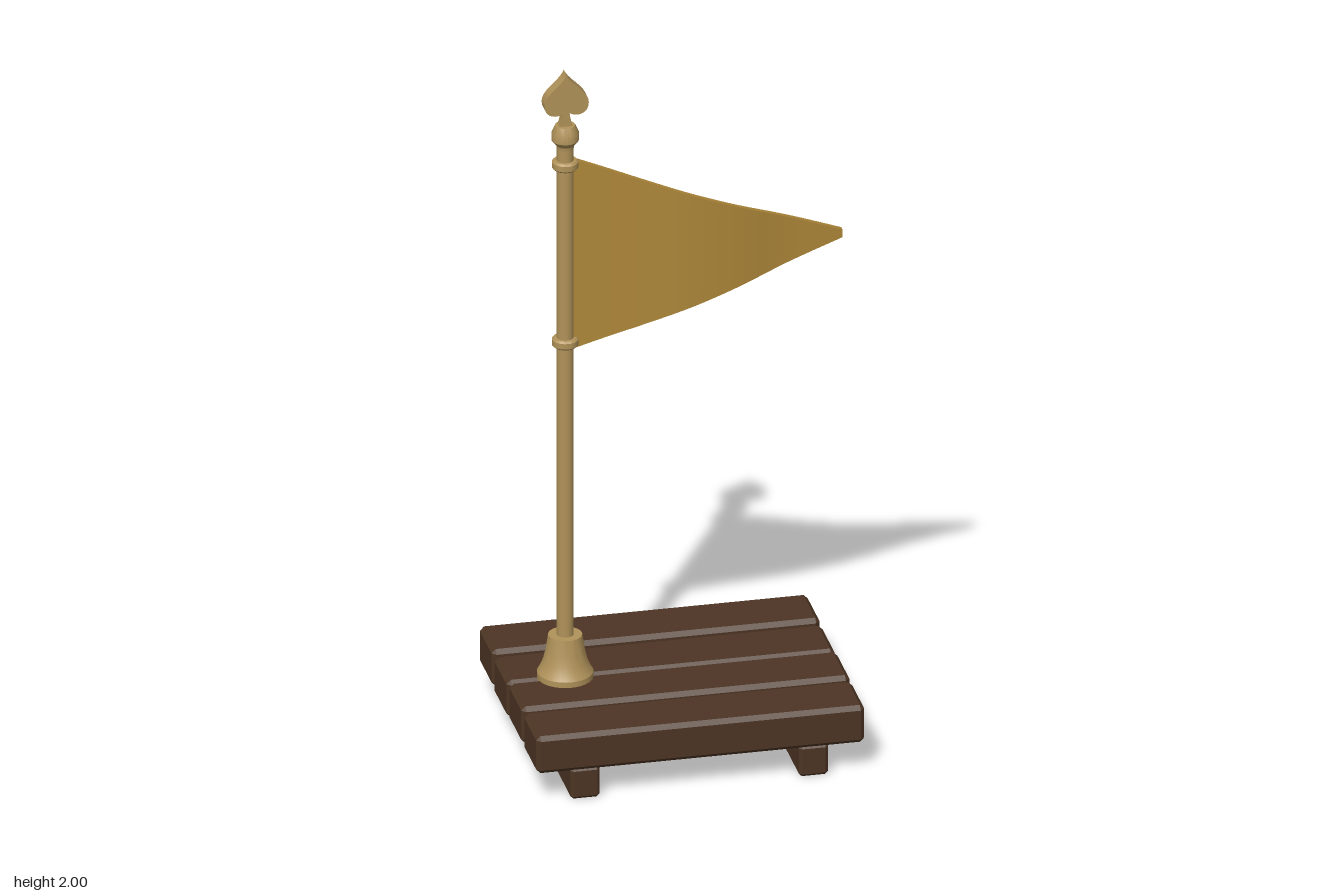
import * as THREE from 'three';
import { ConvexGeometry } from 'three/addons/geometries/ConvexGeometry.js';
import { toCreasedNormals } from 'three/addons/utils/BufferGeometryUtils.js';

const mat = (name, color) => {
  const m = new THREE.MeshStandardMaterial({ color });
  m.name = name;
  return m;
};

// Box with every edge cut at 45 degrees, given by its min and max corners
function chamferedBox(min, max, c) {
  const mid = min.map((v, i) => (v + max[i]) / 2);
  const half = min.map((v, i) => (max[i] - v) / 2);
  const points = [];
  for (const sx of [-1, 1]) for (const sy of [-1, 1]) for (const sz of [-1, 1]) {
    const s = [sx, sy, sz];
    for (let full = 0; full < 3; full++) {
      points.push(new THREE.Vector3(...s.map((k, i) => mid[i] + k * (half[i] - (i === full ? 0 : c)))));
    }
  }
  return new ConvexGeometry(points);
}

export function createModel() {
  const model = new THREE.Group();
  model.name = 'pennantOnPallet';
  const wood = mat('darkWood', 0x4d3524);
  const brass = mat('brass', 0xb1935a);
  const cloth = mat('goldCloth', 0xb0893a);
  const poleX = -0.308;

  const add = (name, geometry, material, x = 0, y = 0, z = 0) => {
    const mesh = new THREE.Mesh(geometry, material);
    mesh.name = name;
    mesh.position.set(x, y, z);
    model.add(mesh);
    return mesh;
  };
  const lathe = (profile, segments) => toCreasedNormals(
    new THREE.LatheGeometry(profile.map(([r, y]) => new THREE.Vector2(r, y)), segments), 0.5);

  // Deck planks, alternating slightly in height
  [[-0.357, 0.2], [-0.177, 0.2], [0.005, 0.194], [0.187, 0.197]].reverse().forEach(([z, top], i) => {
    const t = [0.197, 0.2, 0.193, 0.2][i];
    add(`plank${i + 1}`, chamferedBox([-0.465, t - 0.11, z], [0.437, t, z + 0.167], 0.012), wood);
  });

  // Two cross beams under the deck
  [-0.33, 0.298].forEach((x, i) => {
    add(`beam${i + 1}`, chamferedBox([x - 0.04, 0, -0.347], [x + 0.04, 0.091, 0.347], 0.008), wood);
  });

  // Flared foot and pole
  add('poleFoot', lathe([[0, 0.195], [0.076, 0.195], [0.076, 0.216], [0.069, 0.228], [0.06, 0.25],
    [0.053, 0.28], [0.046, 0.325], [0, 0.325]], 32), brass, poleX);
  add('pole', new THREE.CylinderGeometry(0.023, 0.023, 1.48, 20), brass, poleX, 1.04);

  // Rings holding the flag
  [1.197, 1.725].forEach((y, i) => {
    add(`flagRing${i + 1}`, lathe([[0.02, -0.013], [0.031, -0.013], [0.036, -0.008], [0.036, 0.008],
      [0.031, 0.013], [0.02, 0.013]], 24), brass, poleX, y);
  });

  // Collar under the finial
  add('finialCollar', lathe([[0, 1.765], [0.022, 1.765], [0.024, 1.782], [0.037, 1.798], [0.037, 1.82],
    [0.027, 1.842], [0, 1.842]], 24), brass, poleX);

  // Spade finial with a thinner flared stem
  const extrude = (shape, depth) => {
    const g = new THREE.ExtrudeGeometry(shape, { depth, bevelEnabled: false, curveSegments: 10 });
    g.translate(0, 0, -depth / 2);
    return toCreasedNormals(g, 0.6);
  };
  const spade = new THREE.Shape();
  spade.moveTo(0, 1.998);
  spade.bezierCurveTo(-0.012, 1.965, -0.061, 1.945, -0.061, 1.911);
  spade.bezierCurveTo(-0.061, 1.874, -0.022, 1.868, 0, 1.89);
  spade.bezierCurveTo(0.022, 1.868, 0.061, 1.874, 0.061, 1.911);
  spade.bezierCurveTo(0.061, 1.945, 0.012, 1.965, 0, 1.998);
  add('finialSpade', extrude(spade, 0.036), brass, poleX);
  const stem = new THREE.Shape();
  stem.moveTo(-0.021, 1.838);
  stem.lineTo(0.021, 1.838);
  stem.quadraticCurveTo(0.01, 1.86, 0.008, 1.9);
  stem.lineTo(-0.008, 1.9);
  stem.quadraticCurveTo(-0.01, 1.86, -0.021, 1.838);
  add('finialStem', extrude(stem, 0.024), brass, poleX);

  // Waving triangular flag: a thin slab tapered to the tip and bent along a curve
  const wave = new THREE.SplineCurve([[-0.3, -0.002], [-0.2, 0.004], [-0.085, 0.015], [0.034, 0.021],
    [0.163, 0.008], [0.31, -0.025], [0.463, -0.045]].map(([x, z]) => new THREE.Vector2(x, z)));
  const flag = new THREE.BoxGeometry(1, 1, 0.015, 40, 6, 1);
  const p = flag.attributes.position;
  for (let i = 0; i < p.count; i++) {
    const c = wave.getPoint(p.getX(i) + 0.5);
    const u = (c.x + 0.3) / 0.763;
    const top = THREE.MathUtils.lerp(1.745, 1.43, u);
    const bottom = THREE.MathUtils.lerp(1.172, 1.407, u);
    p.setXYZ(i, c.x, THREE.MathUtils.lerp(bottom, top, p.getY(i) + 0.5), c.y + p.getZ(i));
  }
  flag.computeVertexNormals();
  add('flag', flag, cloth);

  return model;
}
